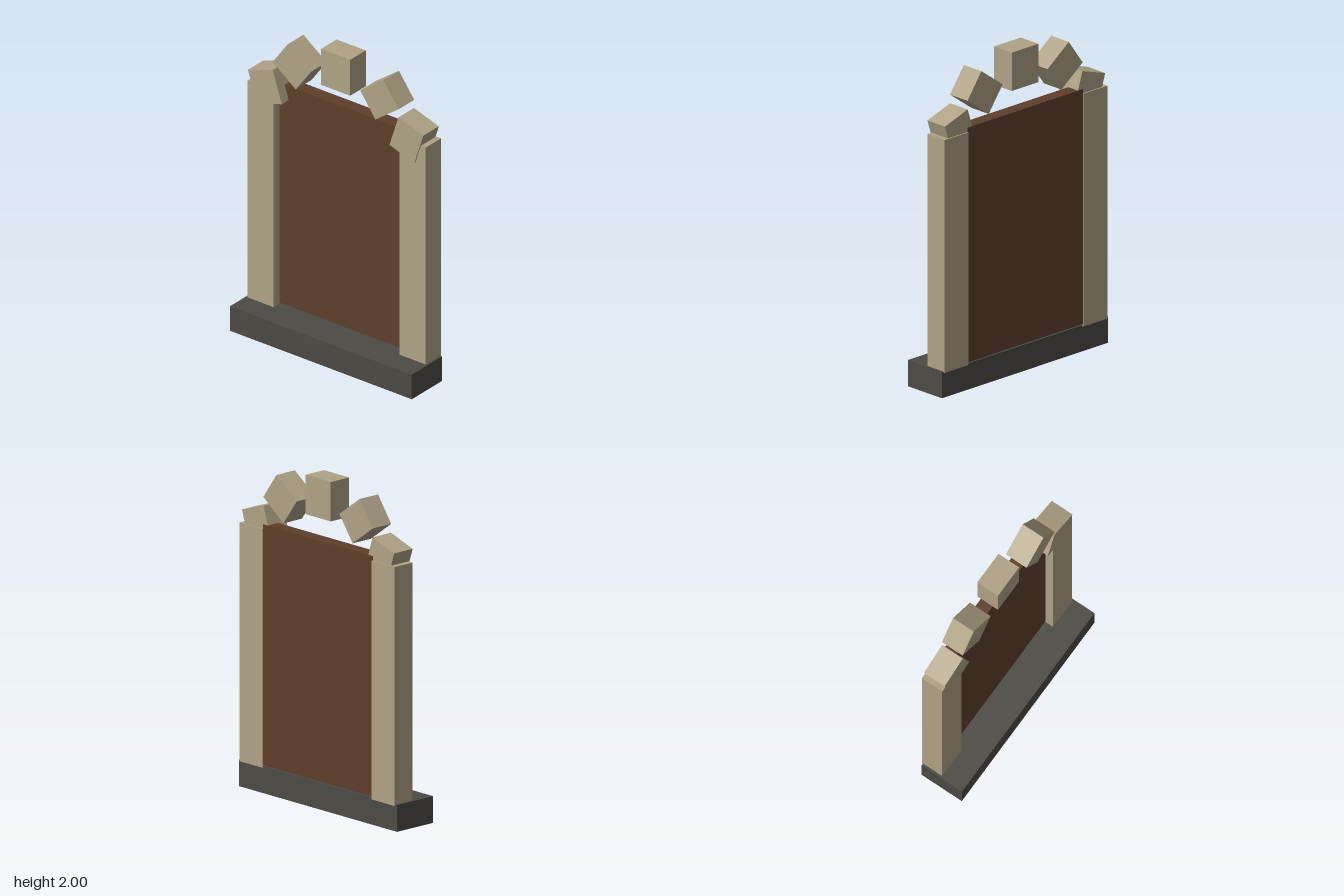
import * as THREE from 'three';

export function createModel() {
  const group = new THREE.Group();
  const material = (name, color) => {
    const m = new THREE.MeshStandardMaterial({ color });
    m.name = name;
    return m;
  };
  const stone = material('sandstone', 0xb0a286);
  const wood = material('dark wood', 0x5e3f2b);
  const slate = material('dark slate', 0x4c4a44);

  // Box centred at x, y, spanning z0 to z1, turned in the facade plane
  const block = (name, mat, w, h, x, y, z0, z1, degrees = 0) => {
    const mesh = new THREE.Mesh(new THREE.BoxGeometry(w, h, z1 - z0), mat);
    mesh.position.set(x, y, (z0 + z1) / 2);
    mesh.rotation.z = THREE.MathUtils.degToRad(degrees);
    mesh.name = name;
    group.add(mesh);
  };

  // Threshold step and door panel
  block('threshold', slate, 1.35, 0.162, 0, 0.081, -0.139, 0.147);
  block('door', wood, 0.936, 1.457, 0, 0.8985, -0.141, -0.057);

  // Jambs and the loose arch stones on each side
  for (const [side, s] of [['left', 1], ['right', -1]]) {
    block(side + 'Jamb', stone, 0.194, 1.445, s * 0.564, 0.8775, -0.147, -0.002);
    block(side + 'LowerArchStone', stone, 0.194, 0.215, s * 0.525, 1.607, -0.139, 0.008, -s * 18);
    block(side + 'UpperArchStone', stone, 0.192, 0.213, s * 0.325, 1.808, -0.139, 0.008, -s * 54);
  }

  // Larger stone at the crown
  block('keystone', stone, 0.216, 0.238, 0, 1.881, -0.139, 0.008);

  return group;
}
